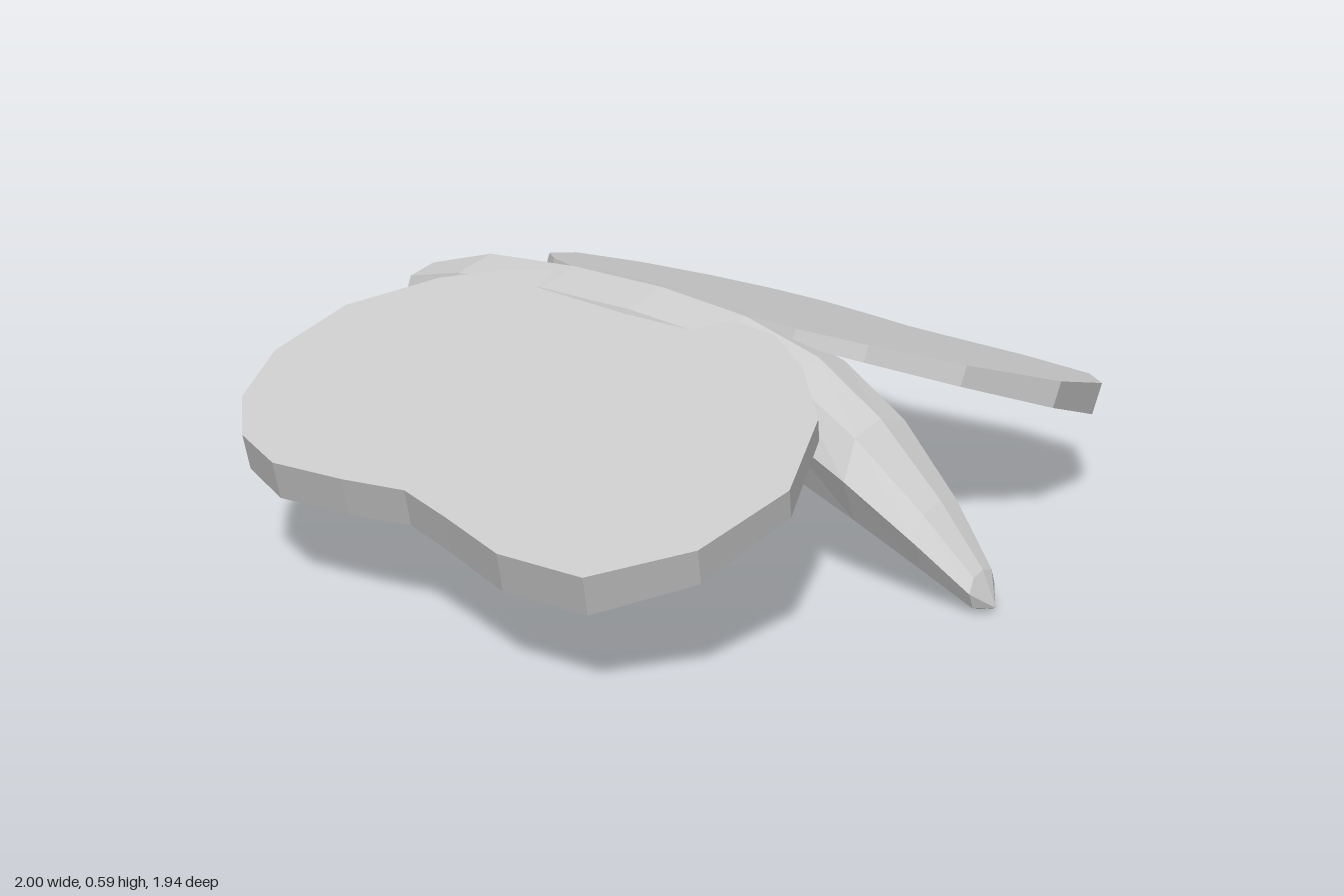
import * as THREE from 'three';

const material = new THREE.MeshStandardMaterial({ color: 0xcccccc, flatShading: true });

// Body: eight-sided upright rings from head to tail
// each row: z, top y, bottom y, half width
const SECTIONS = [
  [-0.97, 0.40, 0.40, 0],
  [-0.885, 0.52, 0.295, 0.115],
  [-0.65, 0.58, 0.26, 0.16],
  [-0.33, 0.594, 0.25, 0.168],
  [-0.03, 0.588, 0.245, 0.165],
  [0.24, 0.56, 0.23, 0.15],
  [0.46, 0.50, 0.197, 0.142],
  [0.64, 0.39, 0.135, 0.132],
  [0.81, 0.235, 0.062, 0.092],
  [0.93, 0.10, 0.005, 0.05],
  [0.967, 0.022, 0.018, 0],
];
// across (share of half width), down (share of height)
const RING = [[0, 0], [0.72, 0.1], [1, 0.47], [0.68, 0.87], [0, 1], [-0.68, 0.87], [-1, 0.47], [-0.72, 0.1]];

function bodyGeometry() {
  const positions = [], index = [], n = RING.length;
  for (const [z, top, bottom, w] of SECTIONS) {
    for (const [u, v] of RING) positions.push(u * w, top + (bottom - top) * v, z);
  }
  for (let i = 0; i < SECTIONS.length - 1; i++) {
    for (let j = 0; j < n; j++) {
      const a = i * n + j, b = i * n + (j + 1) % n;
      index.push(a, a + n, b, b, a + n, b + n);
    }
  }
  const geometry = new THREE.BufferGeometry();
  geometry.setAttribute('position', new THREE.Float32BufferAttribute(positions, 3));
  geometry.setIndex(index);
  geometry.computeVertexNormals();
  return geometry;
}

// Wing outline seen from above (x, z)
const OUTLINE = [
  [0.02, -0.2], [0.04, -0.39], [0.1, -0.51], [0.2, -0.63], [0.42, -0.745], [0.665, -0.72],
  [0.85, -0.605], [0.96, -0.455], [1, -0.29], [0.965, -0.09], [0.925, 0.07], [0.95, 0.23],
  [0.985, 0.42], [0.955, 0.63], [0.775, 0.768], [0.525, 0.795], [0.285, 0.68], [0.125, 0.51],
  [0.04, 0.36], [0.03, 0.24], [0.02, 0.1],
];

// Slab sloping down to the side and slightly to the front, thinner towards the body
function wingGeometry() {
  const shape = new THREE.Shape(OUTLINE.map(([x, z]) => new THREE.Vector2(x, z)));
  const geometry = new THREE.ExtrudeGeometry(shape, { depth: 1, bevelEnabled: false });
  const p = geometry.attributes.position;
  for (let i = 0; i < p.count; i++) p.setZ(i, p.getZ(i) * (0.035 + 0.062 * p.getX(i)));
  const across = new THREE.Vector3(1, -0.262, 0);
  const along = new THREE.Vector3(0, -0.052, 1);
  const down = new THREE.Vector3(-0.26, -0.96, -0.12);
  geometry.applyMatrix4(new THREE.Matrix4().makeBasis(across, along, down).setPosition(0, 0.572, 0));
  geometry.computeVertexNormals();
  return geometry;
}

export function createModel() {
  const model = new THREE.Group();
  model.name = 'butterfly';

  const body = new THREE.Mesh(bodyGeometry(), material);
  body.name = 'body';
  model.add(body);

  const wing = wingGeometry();
  for (const side of [1, -1]) {
    const mesh = new THREE.Mesh(wing, material);
    mesh.name = side > 0 ? 'leftWing' : 'rightWing';
    mesh.scale.x = side;
    model.add(mesh);
  }
  return model;
}
